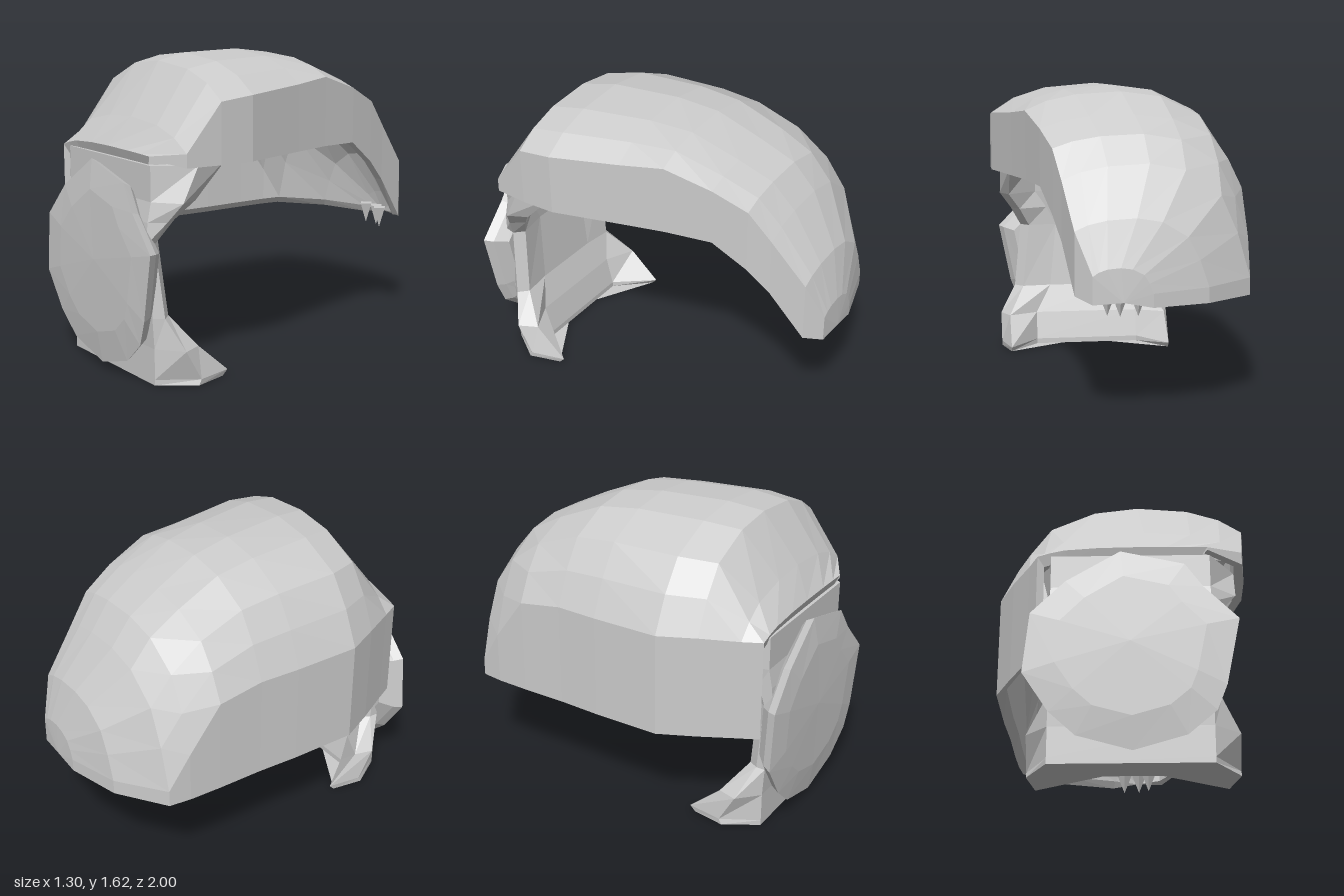
import * as THREE from 'three';

const material = new THREE.MeshStandardMaterial({ color: 0xcccccc, flatShading: true, side: THREE.DoubleSide });

// Skin a list of closed loops of [x, y, z] points with flat facets
function loft(name, loops) {
  const pos = [];
  const n = loops[0].length;
  const tri = (a, b, c) => pos.push(...a, ...b, ...c);
  for (let s = 0; s < loops.length - 1; s++) {
    for (let i = 0; i < n; i++) {
      const j = (i + 1) % n;
      const a = loops[s][i], b = loops[s][j], c = loops[s + 1][j], d = loops[s + 1][i];
      tri(a, b, c);
      tri(a, c, d);
    }
  }
  const geo = new THREE.BufferGeometry();
  geo.setAttribute('position', new THREE.Float32BufferAttribute(pos, 3));
  geo.computeVertexNormals();
  const mesh = new THREE.Mesh(geo, material);
  mesh.name = name;
  return mesh;
}

// A loop collapsed to one point closes an end of a loft
const point = (n, x, y, z) => Array.from({ length: n }, () => [x, y, z]);

// Arched shell: long wall on the right (-x), raised open rim on the left (+x)
function makeShell() {
  const wallBottom = 0.58;
  // z, right x, left x, right shoulder y, crown y, left shoulder y, left rim y
  const stations = [
    [0.9, -0.41, 0.45, 1.13, 1.18, 1.175, 1.16],
    [0.8, -0.46, 0.63, 1.13, 1.33, 1.2, 1.13],
    [0.61, -0.56, 0.65, 1.14, 1.6, 1.44, 1.13],
    [0.42, -0.65, 0.65, 1.14, 1.63, 1.46, 1.13],
    [0.05, -0.65, 0.55, 1.14, 1.63, 1.48, 1.13],
    [-0.18, -0.64, 0.49, 1.14, 1.6, 1.5, 1.13],
    [-0.43, -0.64, 0.43, 1.1, 1.49, 1.42, 1.12],
    [-0.61, -0.635, 0.38, 0.86, 1.4, 1.33, 0.99],
    [-0.73, -0.62, 0.345, 0.67, 1.26, 1.18, 0.87],
    [-0.91, -0.37, 0.3, 0.66, 1.01, 0.95, 0.63],
    [-0.99, -0.08, 0.22, 0.65, 0.78, 0.74, 0.6],
  ];
  // Roof curve: position across, share of the rise from shoulder to crown
  const roof = [[0, 0], [0.07, 0.39], [0.16, 0.72], [0.35, 0.94], [0.54, 1], [0.76, 0.85], [0.9, 0.5], [1, 0]];

  const loops = stations.map(([z, xR, xL, yR, top, yL, rim]) => {
    const outer = [[xR, wallBottom, z]];
    for (const [u, h] of roof) {
      const base = u < 0.6 ? yR : yL;
      outer.push([xR + (xL - xR) * u, base + (top - base) * h, z]);
    }
    outer.push([xL, rim, z]);
    // Inner lining, a little smaller than the outside
    const mid = (xR + xL) / 2;
    const last = outer.length - 1;
    const inner = outer.map(([x, y], i) => {
      const lift = i === 0 ? 0.04 : i === last ? 0 : -0.05;
      return [mid + (x - mid) * 0.92, Math.max(y + lift, wallBottom + 0.04), z * 0.98];
    });
    return [...outer, ...inner.reverse()];
  });
  const shell = loft('shell', [...loops, point(loops[0].length, 0.07, 0.61, -1)]);

  // Strip between the outside and the lining along the front rim
  const front = loops[0], n = front.length;
  const pairs = front.slice(0, n / 2).map((p, i) => [p, front[n - 1 - i]]);
  return [shell, loft('shellFrontRim', pairs)];
}

// Ledge of padding along the inside of the right wall
function makeSidePad() {
  const profile = [[-0.61, 1.1], [-0.36, 1.1], [-0.36, 1.28], [-0.52, 1.28], [-0.61, 1.14]];
  const shape = new THREE.Shape(profile.map(([x, y]) => new THREE.Vector2(x, y)));
  const geo = new THREE.ExtrudeGeometry(shape, { depth: 0.62, bevelEnabled: false });
  const pad = new THREE.Mesh(geo, material);
  pad.name = 'sidePad';
  pad.position.z = -0.2;
  return pad;
}

// Upright behind the front plate, with wings flaring back at the collar and chin
function makeUpright() {
  // y, right x, left x, back z of the wings, back z of the middle, front z
  const stations = [
    [0.01, -0.45, 0.59, 0.53, 0.72, 0.89],
    [0.04, -0.45, 0.59, 0.5, 0.72, 0.89],
    [0.2, -0.45, 0.59, 0.68, 0.76, 0.89],
    [0.36, -0.34, 0.5, 0.8, 0.82, 0.9],
    [0.74, -0.34, 0.46, 0.83, 0.86, 0.93],
    [0.85, -0.34, 0.52, 0.77, 0.85, 0.92],
    [0.95, -0.36, 0.59, 0.69, 0.84, 0.9],
    [1.13, -0.4, 0.59, 0.51, 0.83, 0.9],
  ];
  const loops = stations.map(([y, xR, xL, wing, middle, front]) => [
    [-0.34, y, front], [0.46, y, front], [xL, y, (front + wing) / 2],
    [xL - 0.05, y, wing], [xL - 0.22, y, middle],
    [xR + 0.2, y, middle], [xR + 0.03, y, wing], [xR, y, (front + wing) / 2],
  ]);
  return loft('upright', [point(8, 0.07, 0.01, 0.8), ...loops, point(8, 0.07, 1.13, 0.86)]);
}

// Rounded front plate, tapering towards its back
function makePlate() {
  const outline = [
    [0.01, 1.115], [0.33, 1.035], [0.42, 0.9], [0.59, 0.72], [0.52, 0.37], [0.47, 0.24], [0.33, 0.12],
    [0.07, 0.045], [-0.2, 0.12], [-0.33, 0.24], [-0.46, 0.44], [-0.43, 0.76], [-0.26, 0.94],
  ];
  const cx = 0.06, cy = 0.6;
  const ring = (scale, z, bow) => outline.map(([x, y]) =>
    [cx + (x - cx) * scale, cy + (y - cy) * scale, z - bow * ((y - cy) / 0.55) ** 2]);
  const n = outline.length;
  return loft('frontPlate', [
    point(n, cx, cy, 1), ring(0.7, 1, 0.01), ring(1, 0.99, 0.025),
    ring(0.95, 0.94, 0.02), ring(0.83, 0.88, 0), point(n, cx, cy, 0.88),
  ]);
}

export function createModel() {
  const model = new THREE.Group();
  model.name = 'model';
  model.add(...makeShell(), makeSidePad(), makeUpright(), makePlate());

  // Ragged points hanging from the rear rim
  const spikes = new THREE.Group();
  spikes.name = 'rearSpikes';
  for (const [x, z] of [[0.14, -0.91], [0.08, -0.94], [-0.01, -0.94]]) {
    const spike = new THREE.Mesh(new THREE.ConeGeometry(0.045, 0.12, 4), material);
    spike.name = 'rearSpike';
    spike.rotation.x = Math.PI;
    spike.position.set(x, 0.59, z);
    spikes.add(spike);
  }
  model.add(spikes);
  return model;
}
